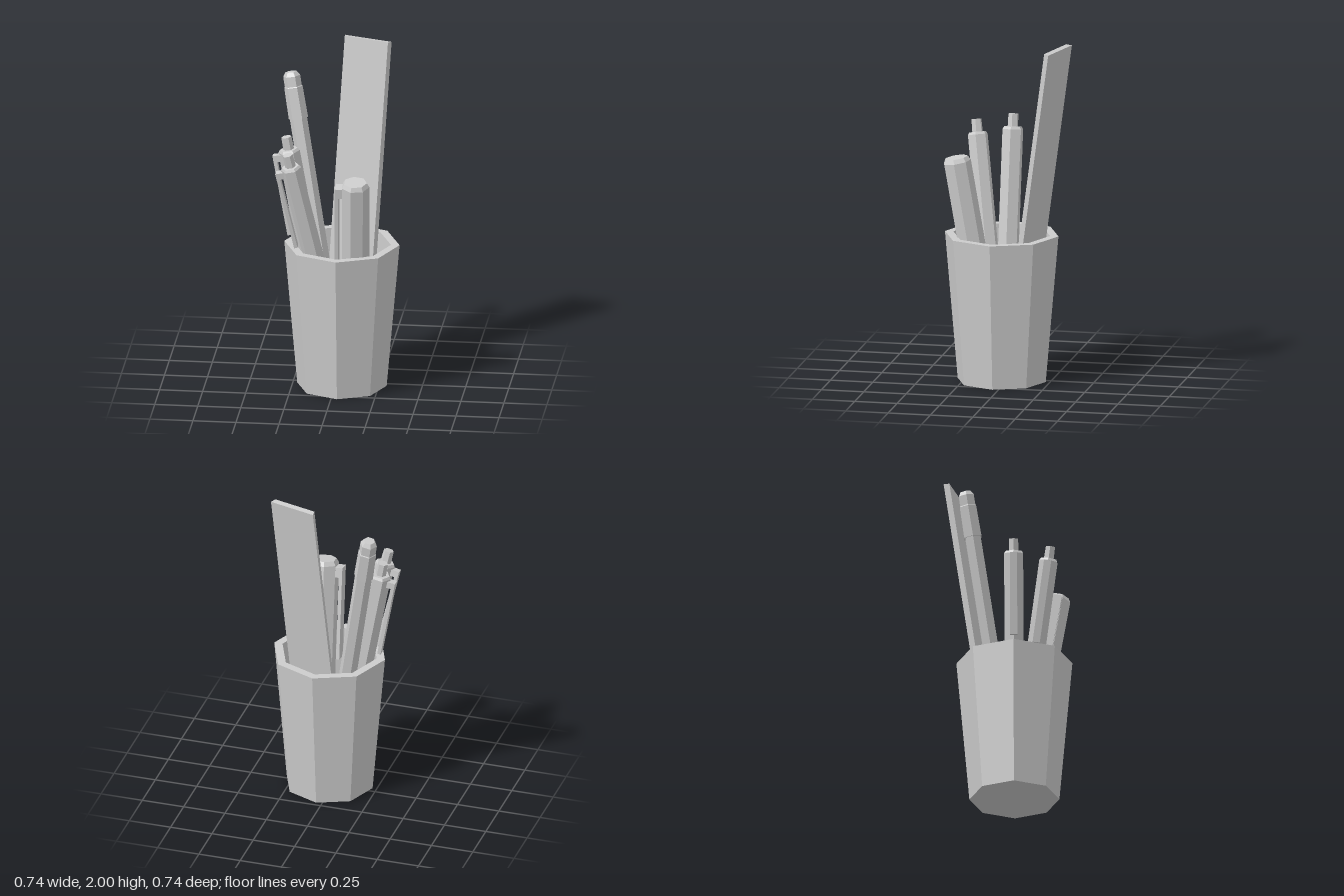
import * as THREE from 'three';

const material = new THREE.MeshStandardMaterial({ color: 0xcccccc, flatShading: true });
const UP = new THREE.Vector3(0, 1, 0);

function mesh(name, geometry) {
  const m = new THREE.Mesh(geometry, material);
  m.name = name;
  return m;
}

// Faceted solid of revolution; first corner lies on the x axis
function faceted(name, profile, sides, turn = Math.PI / 2) {
  const points = profile.map(([r, y]) => new THREE.Vector2(r, y));
  return mesh(name, new THREE.LatheGeometry(points, sides, turn));
}

function box(name, w, h, d, x, y, z = 0) {
  const m = mesh(name, new THREE.BoxGeometry(w, h, d));
  m.position.set(x, y, z);
  return m;
}

// Group standing on `bottom` and leaning towards `top`; build receives its length
function leaning(name, bottom, top, build) {
  const a = new THREE.Vector3(...bottom);
  const dir = new THREE.Vector3(...top).sub(a);
  const length = dir.length();
  const g = new THREE.Group();
  g.name = name;
  g.position.copy(a);
  g.quaternion.setFromUnitVectors(UP, dir.normalize());
  g.add(...build(length));
  return g;
}

// Hexagonal pen with push button and side clip
function clickPen(name, bottom, top, r) {
  return leaning(name, bottom, top, (L) => [
    faceted('penBody', [[0, 0], [r, 0], [r, L - 0.09], [r * 0.85, L - 0.075], [0, L - 0.075]], 6),
    faceted('penButton', [[0.032, L - 0.08], [0.03, L], [0, L]], 6),
    box('penClipBridge', 0.04, 0.04, 0.042, -r - 0.005, L - 0.12),
    box('penClip', 0.02, 0.49, 0.042, -r - 0.025, L - 0.345),
  ]);
}

export function createModel() {
  const model = new THREE.Group();
  model.name = 'penHolder';

  // Octagonal tapered cup, hollow with a thick rim
  const cup = faceted('cup', [[0, 0], [0.26, 0], [0.335, 0.866], [0.285, 0.866], [0.22, 0.05], [0, 0.05]], 8);
  cup.position.set(0.035, 0, 0.035);
  model.add(cup);

  // Two click pens
  model.add(clickPen('middlePen', [-0.025, 0.055, 0.035], [-0.288, 1.505, 0.035], 0.063));
  model.add(clickPen('frontPen', [0.05, 0.055, 0.045], [-0.257, 1.47, 0.247], 0.06));

  // Tall capped pen
  model.add(leaning('tallPen', [0.02, 0.055, 0.03], [-0.292, 1.805, -0.242], (L) => [
    faceted('tallPenBody', [[0, 0], [0.051, 0], [0.051, L - 0.26]], 6),
    faceted('tallPenCap', [[0.05, L - 0.275], [0.057, L - 0.275], [0.054, L - 0.09],
      [0.05, L - 0.085], [0.05, L - 0.025], [0.034, L], [0, L]], 6),
  ]));

  // Thick marker with a flat clip
  model.add(leaning('marker', [0.115, 0.06, 0.065], [0.14, 1.33, 0.282], (L) => [
    faceted('markerBody', [[0, 0], [0.082, 0], [0.082, L - 0.025], [0.068, L], [0, L]], 7),
    box('markerClipBridge', 0.045, 0.06, 0.07, -0.09, L - 0.065),
    box('markerClip', 0.02, 0.56, 0.07, -0.106, L - 0.315),
  ]));

  // Leaning ruler with slightly bevelled sides
  model.add(leaning('ruler', [0.04, 0.06, -0.043], [0.143, 1.997, -0.318], (L) => {
    const section = new THREE.Shape([[-0.145, 0.016], [0.145, 0.016], [0.135, -0.016], [-0.135, -0.016]]
      .map(([x, y]) => new THREE.Vector2(x, y)));
    const geometry = new THREE.ExtrudeGeometry(section, { depth: L, bevelEnabled: false });
    geometry.rotateX(-Math.PI / 2).rotateY(-0.28);
    return [mesh('rulerBlade', geometry)];
  }));

  return model;
}
